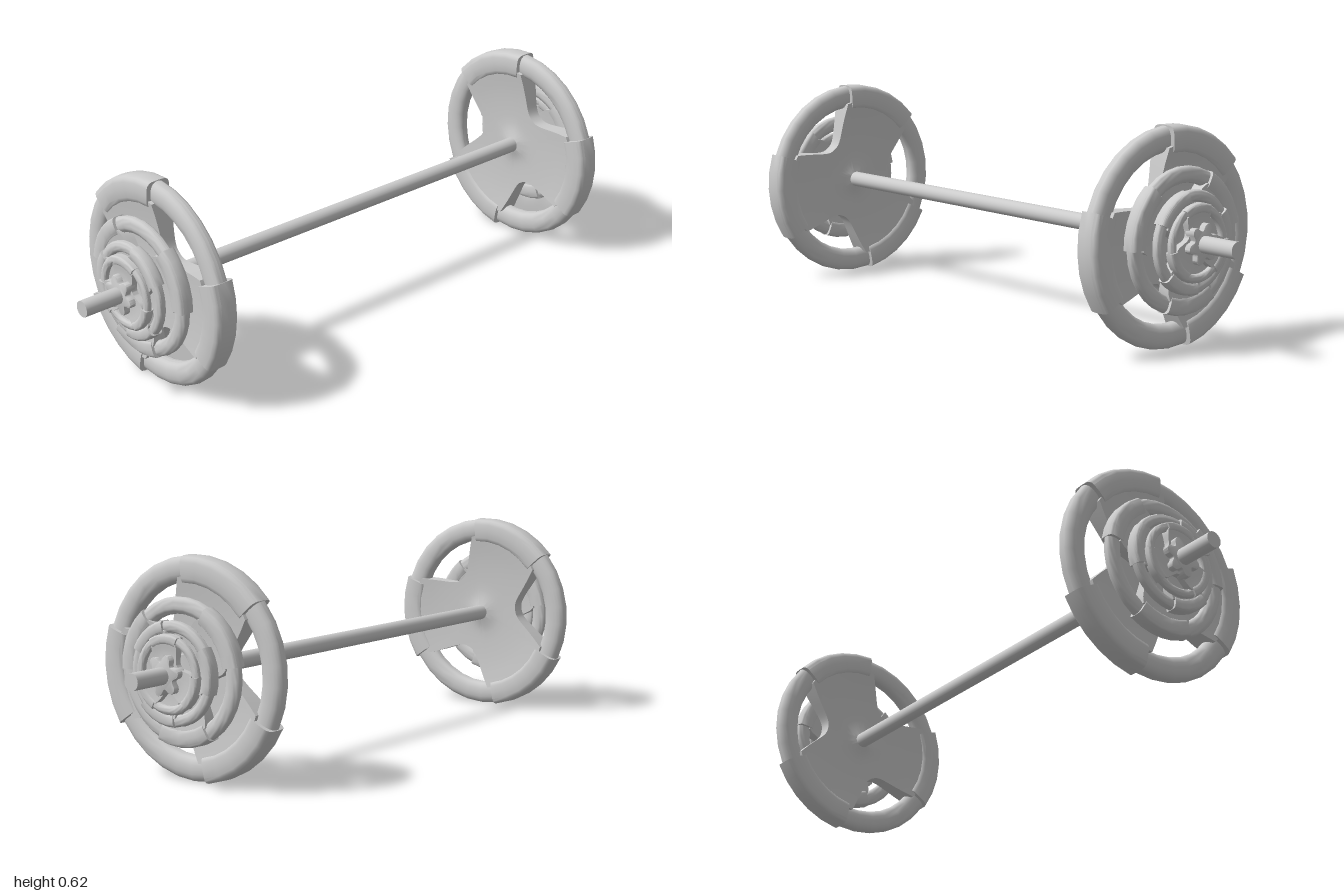
import * as THREE from 'three';
import { toCreasedNormals } from 'three/addons/utils/BufferGeometryUtils.js';

const MAT = new THREE.MeshStandardMaterial({ color: 0xcccccc });
const CENTER_Y = 0.315;
const DEG = Math.PI / 180;
const GRIP = 33.5; // half angle of each hand grip, in degrees

function mesh(name, geometry, z = 0) {
  const m = new THREE.Mesh(geometry, MAT);
  m.name = name;
  m.position.z = z;
  return m;
}

// Sweeps [r, z] profiles round the z axis; stations are { angle, profile }
function revolve(stations, closedProfile, crease) {
  const pos = [], index = [];
  const n = stations[0].profile.length;
  for (const { angle, profile } of stations) {
    for (const [r, z] of profile) pos.push(r * Math.cos(angle), r * Math.sin(angle), z);
  }
  for (let i = 0; i < stations.length; i++) {
    const a = i * n, b = ((i + 1) % stations.length) * n;
    for (let j = 0; j < (closedProfile ? n : n - 1); j++) {
      const k = (j + 1) % n;
      index.push(a + j, b + j, b + k, a + j, b + k, a + k);
    }
  }
  const g = new THREE.BufferGeometry();
  g.setAttribute('position', new THREE.Float32BufferAttribute(pos, 3));
  g.setIndex(index);
  return toCreasedNormals(g, crease);
}

// Rounded section between two radii
function section(inner, outer, half, power) {
  const pts = [];
  const soft = (v) => Math.sign(v) * Math.abs(v) ** power;
  for (let i = 0; i < 20; i++) {
    const t = (i / 20) * Math.PI * 2;
    pts.push([(inner + outer) / 2 + ((outer - inner) / 2) * soft(Math.cos(t)), half * soft(Math.sin(t))]);
  }
  return pts;
}

// Rim: three slim grips alternating with three thick blocks, stepped at each seam
function rimGeometry(R, half, phase) {
  const slim = section(R * 0.765, R * 0.992, half * 0.66, 0.85);
  const thick = section(R * 0.745, R, half, 0.5);
  const stations = [];
  for (let s = 0; s < 3; s++) {
    const c = phase + s * 120;
    for (let i = 0; i <= 6; i++) stations.push({ angle: (c - GRIP + (i / 6) * 2 * GRIP) * DEG, profile: slim });
    const span = 120 - 2 * GRIP;
    for (let i = 0; i <= 5; i++) stations.push({ angle: (c + GRIP + (i / 5) * span) * DEG, profile: thick });
  }
  return revolve(stations, true, 0.7);
}

// Web: dished three-armed centre, waisted behind every grip
function webGeometry(R, half, phase) {
  const stations = [];
  const thickness = (r) => {
    const t = Math.min(r / (0.8 * R), 1);
    return half * (0.48 + 0.4 * t * t * t + 0.4 * Math.exp(-((r / 0.036) ** 2)));
  };
  for (let i = 0; i < 96; i++) {
    const deg = (i / 96) * 360;
    const off = Math.abs(((((deg - phase + 60) % 120) + 120) % 120) - 60);
    const edge = R * Math.min(0.82, 0.42 + 0.36 * (off / 29) ** 2.6);
    const front = [];
    for (let j = 0; j <= 9; j++) {
      const r = 0.02 + (edge - 0.02) * (j / 9);
      front.push([r, thickness(r)]);
    }
    const back = front.map(([r, z]) => [r, -z]);
    stations.push({ angle: deg * DEG, profile: [...back, ...front.reverse()] });
  }
  return revolve(stations, false, 0.8);
}

// Six-lobed locking nut
function nutGeometry() {
  const pts = [];
  for (let i = 0; i < 72; i++) {
    const a = (i / 72) * Math.PI * 2;
    const w = Math.cos(6 * (a - 48 * DEG));
    const r = 0.045 + 0.0105 * Math.sign(w) * Math.abs(w) ** 0.7;
    pts.push(new THREE.Vector2(r * Math.cos(a), r * Math.sin(a)));
  }
  const g = new THREE.ExtrudeGeometry(new THREE.Shape(pts), {
    depth: 0.026, bevelEnabled: true, bevelSize: 0.003, bevelThickness: 0.003, bevelSegments: 2,
  });
  g.translate(0, 0, -0.013);
  return toCreasedNormals(g, 0.6);
}

export function createModel() {
  const model = new THREE.Group();
  const barbell = new THREE.Group();
  barbell.name = 'barbell';
  barbell.position.y = CENTER_Y;
  model.add(barbell);

  // Bar along z
  barbell.add(mesh('bar', new THREE.CylinderGeometry(0.024, 0.024, 2, 24).rotateX(Math.PI / 2)));

  // Plates, large to small: radius, centre z, half thickness, angle of first grip
  const plates = [
    [0.314, 0.742, 0.039, 52.5],
    [0.207, 0.797, 0.024, 84.5],
    [0.146, 0.832, 0.02, 112],
    [0.111, 0.853, 0.015, 145],
  ];
  for (const side of [1, -1]) {
    const stack = new THREE.Group();
    stack.name = side > 0 ? 'frontPlates' : 'backPlates';
    plates.forEach(([R, z, half, phase], i) => {
      const plate = new THREE.Group();
      plate.name = 'plate' + (i + 1);
      plate.position.z = side * z;
      plate.add(mesh('rim', rimGeometry(R, half, phase)), mesh('web', webGeometry(R, half, phase)));
      stack.add(plate);
    });
    stack.add(mesh('lockingNut', nutGeometry(), side * 0.865));
    barbell.add(stack);
  }
  return model;
}
